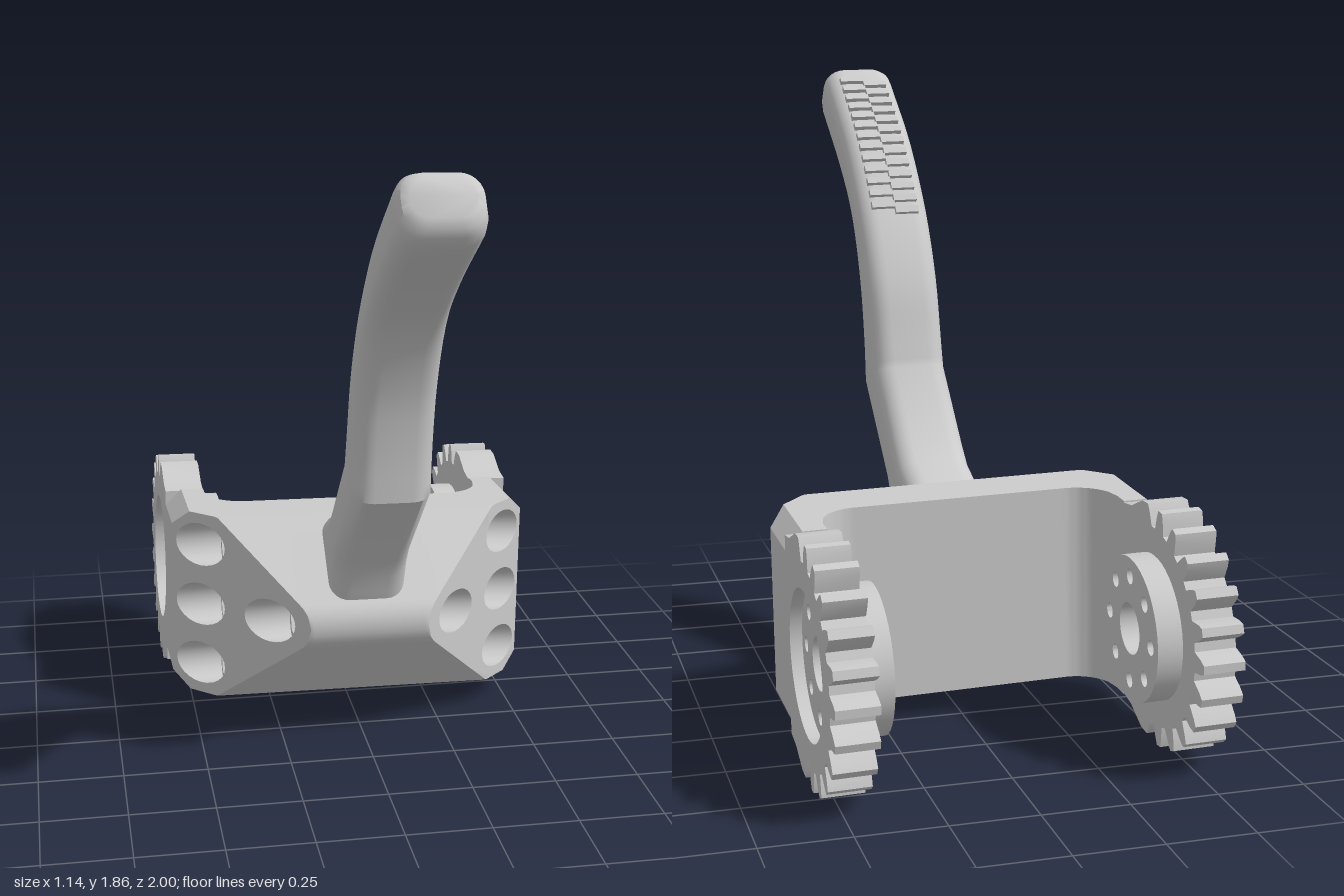
import * as THREE from 'three';
import { toCreasedNormals } from 'three/addons/utils/BufferGeometryUtils.js';

const V = (x, y, z) => new THREE.Vector3(x, y, z);
const TAU = Math.PI * 2;
const material = new THREE.MeshStandardMaterial({ color: 0xcccccc });

// Skin a list of rings (counter-clockwise about the path direction)
function loft(rings, { closed = true, capStart = false, capEnd = false } = {}) {
  const n = rings[0].length, pos = [], idx = [];
  rings.forEach(r => r.forEach(p => pos.push(p.x, p.y, p.z)));
  for (let i = 0; i < rings.length - 1; i++) {
    for (let j = 0; j < (closed ? n : n - 1); j++) {
      const k = (j + 1) % n, a = i * n + j, b = i * n + k, c = b + n, d = a + n;
      idx.push(a, b, c, a, c, d);
    }
  }
  const last = (rings.length - 1) * n;
  for (let j = 1; j < n - 1; j++) {
    if (capStart) idx.push(0, j + 1, j);
    if (capEnd) idx.push(last, last + j, last + j + 1);
  }
  const g = new THREE.BufferGeometry();
  g.setAttribute('position', new THREE.Float32BufferAttribute(pos, 3));
  g.setIndex(idx);
  return g;
}

// Mirror across x (keeping faces outward) and give creased normals
function finish(geo, side = 1) {
  const g = geo.index ? geo.toNonIndexed() : geo.clone();
  g.deleteAttribute('uv');
  if (side < 0) {
    const p = g.attributes.position, a = V(), b = V();
    for (let i = 0; i < p.count; i += 3) {
      a.fromBufferAttribute(p, i + 1);
      b.fromBufferAttribute(p, i + 2);
      p.setXYZ(i + 1, b.x, b.y, b.z);
      p.setXYZ(i + 2, a.x, a.y, a.z);
    }
    g.scale(-1, 1, 1);
  }
  g.computeVertexNormals();
  return toCreasedNormals(g, 0.6);
}

// Bracket parts are drawn about y = 0, then raised and tipped slightly
function seat(geo) {
  const p = geo.attributes.position;
  for (let i = 0; i < p.count; i++) p.setY(i, p.getY(i) + 0.365 + 0.04 * (p.getZ(i) + 0.1));
  return geo;
}

// Bracket rules: nose profile, bevelled flat height, front and back limits
const nose = z => z < 0.1407 ? 0.2114 - z : Math.sqrt(Math.max(0, 0.01 - (z - 0.07) ** 2));
const flat = x => 0.295 - Math.max(0, Math.abs(x) - 0.51);
const front = x => Math.min(0.17, 0.35 - Math.abs(x));
const height = (z, x) => Math.min(flat(x), nose(z));

function bracketSection(x, arm) {
  const ax = Math.abs(x), f = front(x), c = Math.max(0, ax - 0.32);
  const back = arm ? -0.42 : -0.25 - (0.12 - Math.sqrt(Math.max(0, 0.0144 - c * c)));
  const zs = [back, ...[0.2114 - flat(x), 0.1407, 0.15, 0.158, 0.164, 0.168, f].map(z => Math.min(z, f))];
  const top = zs.map(z => V(x, height(z, x), z));
  return [...top.map(p => V(x, -p.y, p.z)).reverse(), ...top];
}

function bracketBody() {
  const rings = [];
  for (let i = -56; i <= 56; i++) {
    const x = i / 100, arm = Math.abs(i) > 44;
    if (i === -44) rings.push(bracketSection(x, true));
    rings.push(bracketSection(x, arm));
    if (i === 44) rings.push(bracketSection(x, true));
  }
  return loft(rings, { closed: false, capStart: true, capEnd: true });
}

// Bolt positions on the slanted face, as (-z, y)
const bolts = [[0.13, 0.195], [0.13, 0], [0.13, -0.195], [-0.06, 0]];
const circle = (u, v, r, n = 24) => Array.from({ length: n }, (_, i) =>
  new THREE.Vector2(u + r * Math.cos(i / n * TAU), v + r * Math.sin(i / n * TAU)));

function slantedFace() {
  const up = [];
  for (let i = 18; i <= 56; i++) {
    const x = i / 100, z = 0.35 - x;
    up.push(new THREE.Vector2(-z, height(z, x)));
  }
  const down = up.map(p => new THREE.Vector2(p.x, -p.y)).reverse();
  const shape = new THREE.Shape([...up, ...down.slice(0, -1)]);
  bolts.forEach(([u, v]) => shape.holes.push(new THREE.Path(circle(u, v, 0.068))));
  const g = new THREE.ShapeGeometry(shape), p = g.attributes.position;
  for (let i = 0; i < p.count; i++) p.setXYZ(i, 0.35 + p.getX(i), p.getY(i), -p.getX(i));
  return g;
}

// Counterbore, hexagonal pocket and through hole
function boltBore([u, v]) {
  const floor = 0.35 + u - 0.072;
  const ring = (r, x) => Array.from({ length: 24 }, (_, i) => {
    const a = i / 24 * TAU, rr = typeof r === 'function' ? r(a) : r, du = rr * Math.cos(a);
    return V(x === null ? 0.35 + u + du : x, v + rr * Math.sin(a), -(u + du));
  });
  const hex = a => 0.05 * Math.cos(Math.PI / 6) / Math.cos((a + 1e-6) % (Math.PI / 3) - Math.PI / 6);
  return loft([ring(0.068, null), ring(0.068, floor), ring(hex, floor), ring(hex, floor - 0.04),
    ring(0.022, floor - 0.04), ring(0.022, 0)]);
}

// Extrude a (-z, y) shape from x0 to x1 around the gear axis
function plate(shape, x0, x1) {
  return new THREE.ExtrudeGeometry(shape, { depth: x1 - x0, bevelEnabled: false, curveSegments: 32 })
    .translate(0, 0, x0).rotateY(Math.PI / 2).translate(0, 0, -0.65);
}

function gear() {
  const pts = [new THREE.Vector2(-0.23, 0.29), new THREE.Vector2(-0.17, 0.3)];
  const at = (deg, r) => pts.push(new THREE.Vector2(r * Math.sin(deg * TAU / 360), r * Math.cos(deg * TAU / 360)));
  for (let k = 0; k <= 12; k++) {
    const t = -10 + k * 200 / 12;
    if (k > 0) { at(t - 5.8, 0.285); at(t - 3.6, 0.325); }
    at(t - (k ? 2 : 5), k ? 0.345 : 0.35);
    at(t + (k < 12 ? 2 : 5), k < 12 ? 0.345 : 0.35);
    if (k < 12) { at(t + 3.6, 0.325); at(t + 5.8, 0.285); }
  }
  pts.push(new THREE.Vector2(-0.17, -0.3), new THREE.Vector2(-0.23, -0.29));
  const shape = new THREE.Shape(pts);
  shape.holes.push(new THREE.Path(circle(0, 0, 0.206, 48)));
  return plate(shape, 0.44, 0.56);
}

function hub() {
  const shape = new THREE.Shape(circle(0, 0, 0.206, 48));
  shape.holes.push(new THREE.Path(circle(0, 0, 0.073, 32)));
  for (let i = 0; i < 8; i++) {
    const a = i / 8 * TAU;
    shape.holes.push(new THREE.Path(circle(0.152 * Math.cos(a), 0.152 * Math.sin(a), 0.022, 16)));
  }
  return plate(shape, 0.367, 0.525);
}

// Lever: front and back edge points in (z, y)
const curve = pts => new THREE.CatmullRomCurve3(pts.map(([z, y]) => V(0, y, z)));
const frontEdge = curve([[0.466, 0.863], [0.478, 1.02], [0.51, 1.19], [0.595, 1.378], [0.73, 1.507], [0.965, 1.675]]);
const backEdge = curve([[0.27, 0.95], [0.292, 1.04], [0.335, 1.21], [0.44, 1.42], [0.62, 1.64], [0.85, 1.82]]);

function leverRing(f, b, w = 0.115, r = 0.06) {
  const mid = f.clone().add(b).multiplyScalar(0.5), dir = b.clone().sub(f);
  const t = dir.length() / 2, ring = [];
  dir.normalize();
  for (let q = 0; q < 4; q++) {
    const sx = q === 0 || q === 3 ? 1 : -1, sy = q < 2 ? 1 : -1;
    for (let i = 0; i <= 6; i++) {
      const a = (q + i / 6) * Math.PI / 2;
      const p = mid.clone().addScaledVector(dir, sy * (t - r) + r * Math.sin(a));
      p.x = sx * (w - r) + r * Math.cos(a);
      ring.push(p);
    }
  }
  return ring;
}

function lever() {
  const rings = [
    leverRing(V(0, 0.42, 0.12), V(0, 0.63, -0.11)),
    leverRing(V(0, 0.48, 0.145), V(0, 0.67, -0.04)),
    leverRing(V(0, 0.53, 0.16), V(0, 0.70, 0.03)),
    leverRing(V(0, 0.59, 0.195), V(0, 0.76, 0.095)),
  ];
  for (let i = 0; i <= 20; i++) rings.push(leverRing(frontEdge.getPoint(i / 20), backEdge.getPoint(i / 20)));
  // Rounded tip
  rings.push(leverRing(V(0, 1.70, 0.985), V(0, 1.842, 0.882), 0.113));
  rings.push(leverRing(V(0, 1.725, 0.995), V(0, 1.848, 0.907), 0.105));
  rings.push(leverRing(V(0, 1.752, 0.992), V(0, 1.838, 0.93), 0.085, 0.045));
  return loft(rings, { capStart: true, capEnd: true });
}

export function createModel() {
  const root = new THREE.Group();
  const add = (name, geo, side) => {
    const m = new THREE.Mesh(finish(geo, side), material);
    m.name = name;
    root.add(m);
    return m;
  };

  add('bracketBody', seat(bracketBody()));
  for (const side of [1, -1]) {
    const label = side > 0 ? 'left' : 'right';
    add(label + 'SlantedFace', seat(slantedFace()), side);
    bolts.forEach((b, i) => add(label + 'BoltBore' + (i + 1), seat(boltBore(b)), side));
    add(label + 'Gear', seat(gear()), side);
    add(label + 'Hub', seat(hub()), side);
  }
  add('lever', lever());

  // Two staggered rows of grip ridges on the back of the lever
  const ridge = new THREE.BoxGeometry(0.075, 0.026, 0.022);
  for (let i = 0; i < 26; i++) {
    const t = 0.6 + 0.39 * i / 25, p = backEdge.getPoint(t), d = backEdge.getTangent(t);
    const m = add('gripRidge', ridge);
    m.position.set(i % 2 ? 0.037 : -0.037, p.y, p.z);
    m.rotation.x = -Math.atan2(d.y, d.z);
  }

  // The whole piece sits slightly askew
  root.rotation.set(0, 0.015, -0.017);
  root.position.set(-0.004, 0.012, 0);
  const model = new THREE.Group();
  model.name = 'gearedLeverBracket';
  model.add(root);
  return model;
}
